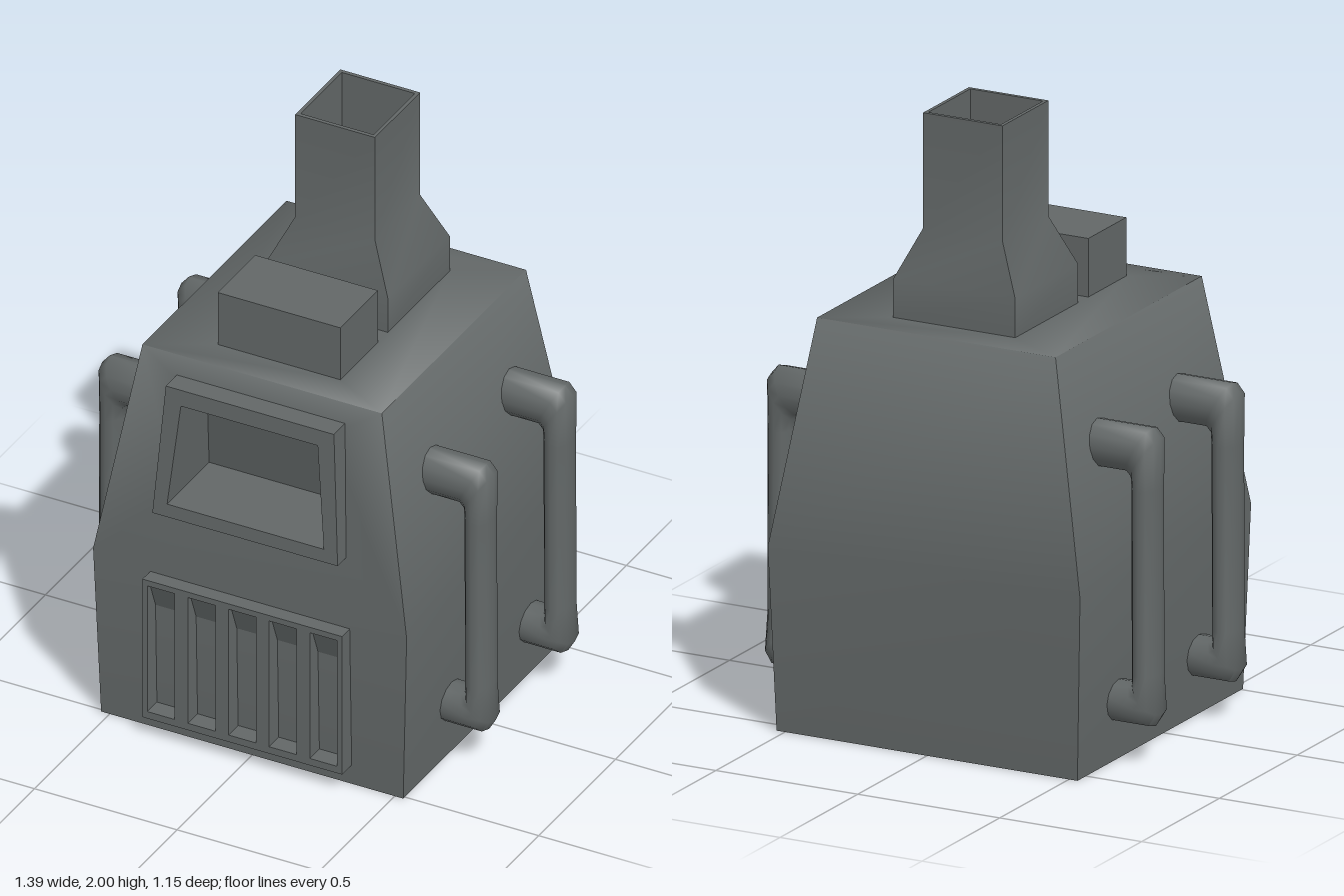
import * as THREE from 'three';
import { toCreasedNormals } from 'three/addons/utils/BufferGeometryUtils.js';

const metal = new THREE.MeshStandardMaterial({ color: 0x626767 });
metal.name = 'darkMetal';

// Geometry from four-cornered faces, smoothed below the crease angle
function fromQuads(quads, crease) {
  const pos = [];
  for (const [a, b, c, d] of quads) pos.push(...a, ...b, ...c, ...a, ...c, ...d);
  const g = new THREE.BufferGeometry();
  g.setAttribute('position', new THREE.Float32BufferAttribute(pos, 3));
  g.computeVertexNormals();
  return toCreasedNormals(g, crease);
}

// Faces that join successive loops of equal length
function skin(loops) {
  const quads = [];
  for (let k = 0; k + 1 < loops.length; k++) {
    const a = loops[k], b = loops[k + 1], n = a.length;
    for (let i = 0; i < n; i++) {
      const j = (i + 1) % n;
      quads.push([a[i], a[j], b[j], b[i]]);
    }
  }
  return quads;
}

// Horizontal rectangle at height y
const ring = (y, x, zf, zb) => [[-x, y, zf], [x, y, zf], [x, y, zb], [-x, y, zb]];

// Upright trapezoid: bottom and top as [half width, y, z]
const upright = ([xb, yb, zb], [xt, yt, zt]) =>
  [[-xb, yb, zb], [xb, yb, zb], [xt, yt, zt], [-xt, yt, zt]];

export function createModel() {
  const model = new THREE.Group();
  model.name = 'furnace';
  const add = (name, geometry) => {
    const mesh = new THREE.Mesh(geometry, metal);
    mesh.name = name;
    model.add(mesh);
    return mesh;
  };

  // Body shell with a window opening in the sloped front
  const base = ring(0, 0.53, 0.51, -0.555);
  const waist = ring(0.6, 0.55, 0.525, -0.575);
  const shoulder = ring(1.34, 0.42, 0.445, -0.495);
  const inset = ring(1.34, 0.215, 0.335, -0.38);
  const frontZ = y => 0.525 - 0.108 * (y - 0.6);
  const hole = upright([0.275, 0.86, frontZ(0.86)], [0.24, 1.215, frontZ(1.215)]);
  const front = [waist[0], waist[1], shoulder[1], shoulder[0]];
  add('body', fromQuads([
    [...base].reverse(),
    ...skin([base, waist]),
    ...skin([waist, shoulder]).slice(1),
    ...skin([front, hole]),
    ...skin([shoulder, inset]),
    inset,
  ], 1.5));

  // Recess behind the window
  const recessBack = upright([0.275, 0.86, 0.28], [0.24, 1.215, 0.36]);
  add('windowRecess', fromQuads([...skin([hole, recessBack]), recessBack], 0.5));

  // Raised window frame
  add('windowFrame', fromQuads(skin([
    upright([0.325, 0.815, 0.495], [0.295, 1.27, 0.445]),
    upright([0.325, 0.815, 0.557], [0.295, 1.27, 0.525]),
    upright([0.275, 0.86, 0.554], [0.24, 1.215, 0.529]),
    hole,
  ]), 0.5));

  // Grille plate with five slots
  const plate = new THREE.Shape();
  plate.moveTo(-0.35, 0.07).lineTo(0.35, 0.07).lineTo(0.35, 0.575).lineTo(-0.35, 0.575).closePath();
  const hoods = [];
  for (let i = -2; i <= 2; i++) {
    const x0 = i * 0.1425 - 0.048, x1 = x0 + 0.096;
    const slot = new THREE.Path();
    slot.moveTo(x0, 0.095).lineTo(x0, 0.555).lineTo(x1, 0.555).lineTo(x1, 0.095).closePath();
    plate.holes.push(slot);
    hoods.push([[x0, 0.455, 0.521], [x1, 0.455, 0.521], [x1, 0.555, 0.56], [x0, 0.555, 0.56]]);
  }
  const grille = new THREE.ExtrudeGeometry(plate, { depth: 0.07, bevelEnabled: false });
  add('grille', grille.translate(0, 0, 0.505));
  add('grilleSlotHoods', fromQuads(hoods, 0.5));

  // Box on the roof
  add('roofBox', new THREE.BoxGeometry(0.43, 0.19, 0.245).translate(0, 1.435, 0.2125));

  // Hollow square chimney
  const flueFloor = ring(1.62, 0.128, -0.043, -0.312);
  add('chimney', fromQuads([
    ...skin([
      ring(1.34, 0.215, 0.025, -0.38),
      ring(1.465, 0.215, 0.025, -0.38),
      ring(1.625, 0.14, -0.03, -0.325),
      ring(2, 0.14, -0.03, -0.325),
      ring(2, 0.128, -0.043, -0.312),
      flueFloor,
    ]),
    flueFloor,
  ], 0.8));

  // Side pipes: each section is outer x, y then inner x, y
  const sections = [
    [0.44, 1.097, 0.44, 0.945], [0.66, 1.097, 0.58, 0.945],
    [0.687, 1.065, 0.594, 0.93], [0.686, 0.9, 0.596, 0.9],
    [0.687, 0.3, 0.597, 0.3], [0.694, 0.17, 0.6, 0.264],
    [0.67, 0.13, 0.585, 0.262], [0.5, 0.13, 0.5, 0.262],
  ];
  const halfDepth = [0.072, 0.072, 0.072, 0.067, 0.067, 0.074, 0.074, 0.072];
  const pipeRings = sections.map(([ox, oy, ix, iy], k) =>
    Array.from({ length: 12 }, (_, i) => {
      const a = (i / 12) * Math.PI * 2, c = Math.cos(a) / 2;
      return [(ox + ix) / 2 + c * (ox - ix), (oy + iy) / 2 + c * (oy - iy), Math.sin(a) * halfDepth[k]];
    }));
  const pipeGeometry = fromQuads(skin(pipeRings), 0.95);
  for (const [side, turn] of [['left', 0], ['right', Math.PI]]) {
    for (const [place, z] of [['Front', 0.21], ['Back', -0.305]]) {
      const pipe = add(`${side}${place}Pipe`, pipeGeometry);
      pipe.rotation.y = turn;
      pipe.position.z = z;
    }
  }
  return model;
}
